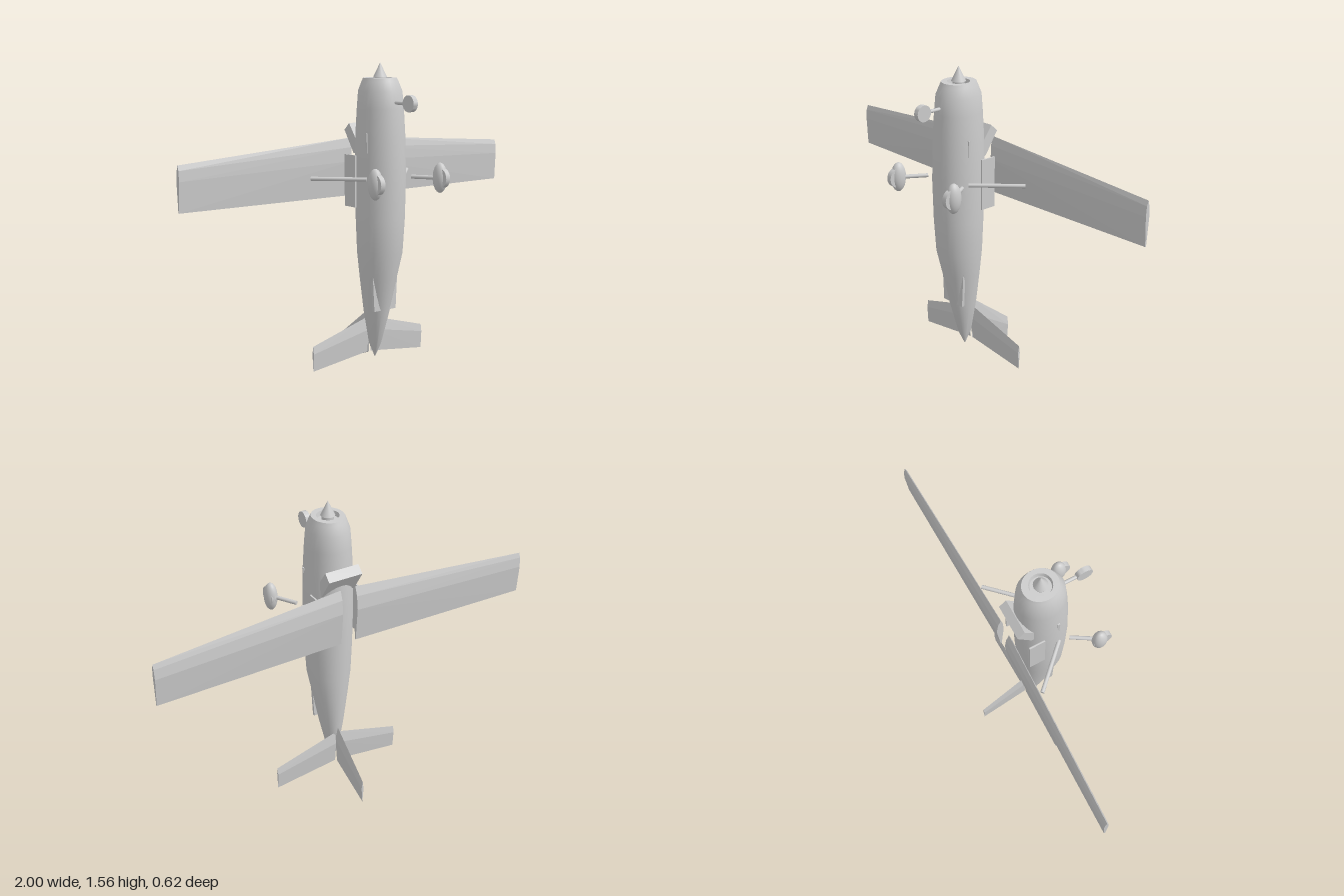
import * as THREE from 'three';
import { toCreasedNormals } from 'three/addons/utils/BufferGeometryUtils.js';
import { ConvexGeometry } from 'three/addons/geometries/ConvexGeometry.js';

const paint = new THREE.MeshStandardMaterial({ color: 0xcccccc });
paint.name = 'lightGrey';

const V = (x, y, z) => new THREE.Vector3(x, y, z);

function part(name, geometry) {
  const mesh = new THREE.Mesh(geometry, paint);
  mesh.name = name;
  return mesh;
}

// Straight-sided solid through the given corner points
const solid = (name, points) => part(name, new ConvexGeometry(points));

// Round bar between two points
function rod(name, a, b, r) {
  const dir = b.clone().sub(a);
  const mesh = part(name, new THREE.CylinderGeometry(r, r, dir.length(), 12));
  mesh.position.copy(a).add(b).multiplyScalar(0.5);
  mesh.quaternion.setFromUnitVectors(V(0, 1, 0), dir.normalize());
  return mesh;
}

// Wheel with its axle along x
function wheel(name, r, width, x, y, z) {
  const geo = toCreasedNormals(new THREE.CylinderGeometry(r, r, width, 24), 0.6);
  geo.rotateZ(Math.PI / 2);
  const mesh = part(name, geo);
  mesh.position.set(x, y, z);
  return mesh;
}

// Fuselage skin lofted through ellipses: [y, centre z, half width, half depth]
function fuselageGeometry() {
  const rings = [
    [0.09, 0, 0.002, 0.002], [0.16, 0, 0.026, 0.037], [0.33, 0.0125, 0.06, 0.0725],
    [0.5, 0.025, 0.088, 0.098], [0.63, 0.0375, 0.109, 0.118], [0.8, 0.041, 0.117, 0.127],
    [1.0, 0.042, 0.12, 0.133], [1.2, 0.041, 0.117, 0.13], [1.34, 0.041, 0.109, 0.122],
    [1.425, 0.04, 0.102, 0.115], [1.47, 0.039, 0.086, 0.095], [1.487, 0.0385, 0.079, 0.087],
    [1.487, 0.04, 0.055, 0.055], [1.465, 0.04, 0.05, 0.05], [1.465, 0.04, 0.001, 0.001],
  ];
  const n = 32, pos = [], index = [];
  for (const [y, cz, rx, rz] of rings)
    for (let j = 0; j < n; j++) {
      const a = (j / n) * Math.PI * 2;
      pos.push(rx * Math.cos(a), y, cz + rz * Math.sin(a));
    }
  for (let i = 0; i < rings.length - 1; i++)
    for (let j = 0; j < n; j++) {
      const a = i * n + j, b = i * n + (j + 1) % n;
      index.push(a, a + n, b, b, a + n, b + n);
    }
  const geo = new THREE.BufferGeometry();
  geo.setAttribute('position', new THREE.Float32BufferAttribute(pos, 3));
  geo.setIndex(index);
  return toCreasedNormals(geo, 0.6);
}

export function createModel() {
  const plane = new THREE.Group();
  plane.name = 'airplane';

  // Body and nose
  plane.add(part('fuselage', fuselageGeometry()));
  const spinner = part('spinner', new THREE.ConeGeometry(0.035, 0.073, 24));
  spinner.position.set(0, 1.5245, 0.04);
  plane.add(spinner);
  plane.add(rod('propellerShaft', V(0, 1.46, 0.04), V(0, 1.49, 0.04), 0.028));

  // Windshield block leaning back under the wing
  const shield = [[1.265, -0.09], [1.23, -0.127], [1.12, -0.055], [1.19, -0.036], [1.12, -0.038]];
  plane.add(solid('windshield', [-0.09, 0.09].flatMap(x => shield.map(([y, z]) => V(x, y, z)))));

  // Tapered belly plate that breaks the skin at both ends
  plane.add(solid('sideTrim', [-1, 1].flatMap(s => [
    V(s * 0.068, 0.343, 0.065), V(s * 0.068, 0.343, 0.08),
    V(s * 0.118, 1.225, 0.068), V(s * 0.118, 1.225, 0.08),
  ])));

  // Vertical fin
  const fin = [[0.325, -0.05], [0.1, -0.05], [0.135, -0.305], [0.005, -0.305]];
  plane.add(solid('fin', fin.flatMap(([y, z], i) => {
    const t = i < 2 ? 0.008 : 0.006;
    const mid = [0.24, 0.24, 0.09, 0.09][i];
    return [V(0, y, z), V(t, mid, z), V(-t, mid, z)];
  })));

  for (const s of [1, -1]) {
    const side = s > 0 ? 'left' : 'right';

    // Wing: root and tip aerofoil sections as [y, z]
    const root = [[1.187, -0.146], [1.14, -0.162], [1.07, -0.17], [0.897, -0.155], [0.897, -0.149], [1.07, -0.134], [1.14, -0.136]];
    const tip = [[1.115, -0.172], [1.09, -0.179], [1.04, -0.184], [0.897, -0.174], [0.897, -0.168], [1.04, -0.16], [1.09, -0.163]];
    plane.add(solid(side + 'Wing', [
      ...root.map(([y, z]) => V(s * 0.04, y, z)),
      ...tip.map(([y, z]) => V(s * 1, y, z)),
    ]));

    // Tailplane
    const tailRoot = [[0.285, -0.048], [0.22, -0.057], [0.105, -0.048], [0.22, -0.039]];
    const tailTip = [[0.188, -0.048], [0.15, -0.054], [0.062, -0.048], [0.15, -0.042]];
    plane.add(solid(side + 'Tailplane', [
      ...tailRoot.map(([y, z]) => V(s * 0.01, y, z)),
      ...tailTip.map(([y, z]) => V(s * 0.35, y, z)),
    ]));

    // Cabin side window
    const pane = part(side + 'Window', new THREE.BoxGeometry(0.008, 0.255, 0.083));
    pane.position.set(s * 0.12, 0.9875, -0.0415);
    plane.add(pane);

    // Wing strut
    plane.add(rod(side + 'Strut', V(s * 0.115, 1.005, 0.08), V(s * 0.305, 1.005, -0.115), 0.01));

    // Main landing gear
    plane.add(rod(side + 'GearLeg', V(s * 0.125, 1.005, 0.13), V(s * 0.195, 1.005, 0.245), 0.01));
    const fairing = part(side + 'WheelFairing', new THREE.SphereGeometry(1, 24, 16));
    fairing.scale.set(0.033, 0.074, 0.039);
    fairing.position.set(s * 0.203, 1.005, 0.252);
    plane.add(fairing);
    plane.add(wheel(side + 'Wheel', 0.049, 0.026, s * 0.203, 1.005, 0.262));
  }

  // Nose gear
  plane.add(rod('noseGearLeg', V(0, 1.372, 0.13), V(0, 1.372, 0.25), 0.009));
  plane.add(wheel('noseWheel', 0.04, 0.026, 0, 1.372, 0.262));

  return plane;
}
